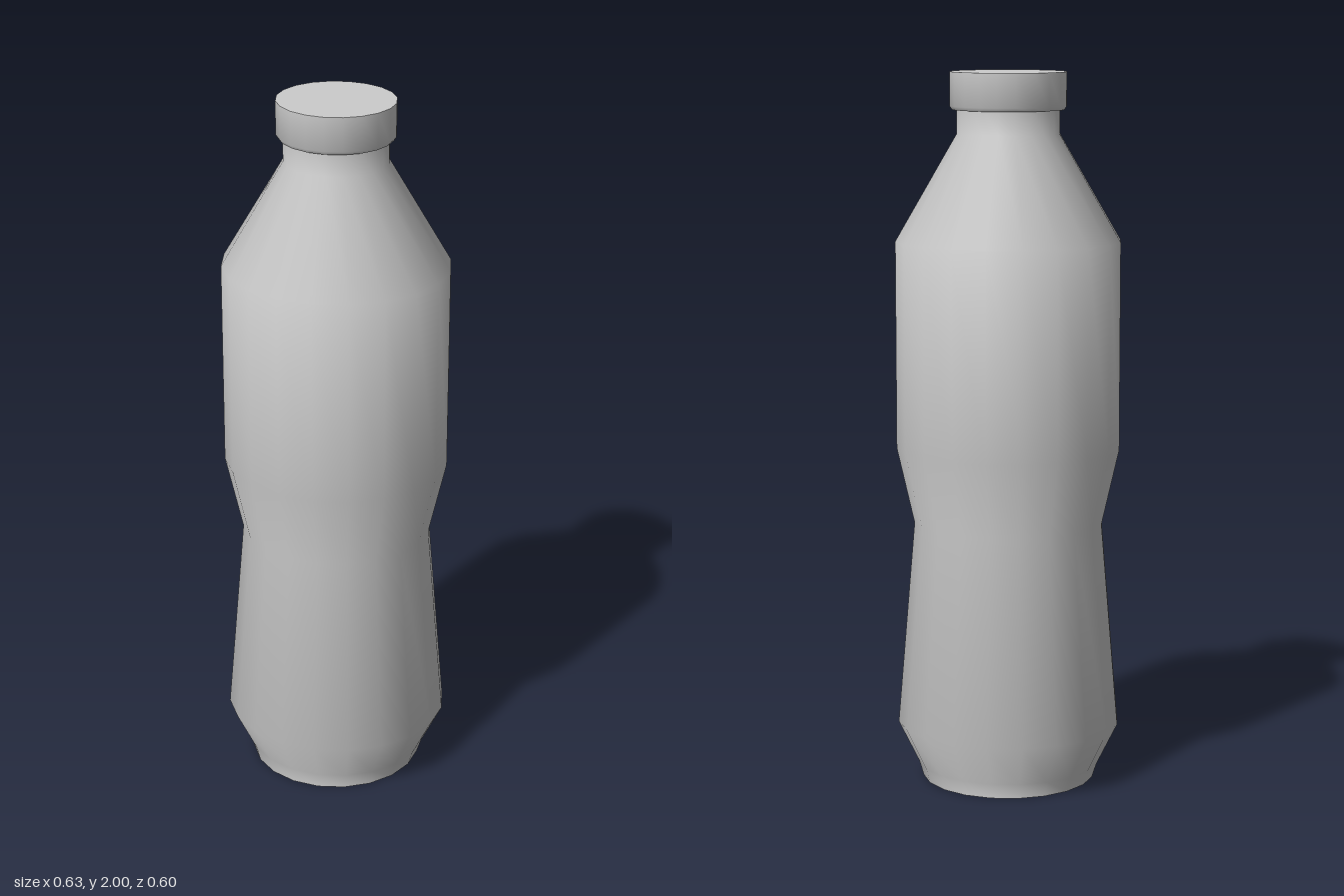
import * as THREE from 'three';
import { toCreasedNormals } from 'three/addons/utils/BufferGeometryUtils.js';

const SIDES = 20;

// Turned part with elliptical rings; each profile entry is [x radius, y, z radius (optional)]
function turned(name, profile, material) {
  const geometry = new THREE.LatheGeometry(profile.map(([r, y]) => new THREE.Vector2(r, y)), SIDES);
  const position = geometry.attributes.position;
  for (let i = 0; i < position.count; i++) {
    const [r, , rz = r * 0.95] = profile[i % profile.length];
    if (r > 0) position.setZ(i, position.getZ(i) * rz / r);
  }
  const mesh = new THREE.Mesh(toCreasedNormals(geometry, 0.8), material);
  mesh.name = name;
  return mesh;
}

export function createModel() {
  const model = new THREE.Group();
  model.name = 'bottle';
  const grey = new THREE.MeshStandardMaterial({ color: 0xcccccc });

  // Closed base, flared foot, pinched waist, straight barrel, shoulder and neck
  model.add(turned('body', [
    [0, 0],
    [0.244, 0, 0.247],
    [0.257, 0.04, 0.247],
    [0.316, 0.16],
    [0.267, 0.74],
    [0.316, 0.955],
    [0.316, 1.535],
    [0.144, 1.83],
    [0.144, 1.91],
  ], grey));

  // Screw cap with a small chamfer round its lower rim
  model.add(turned('cap', [
    [0, 1.896],
    [0.156, 1.896],
    [0.163, 1.906],
    [0.163, 2],
    [0, 2],
  ], grey));

  return model;
}
